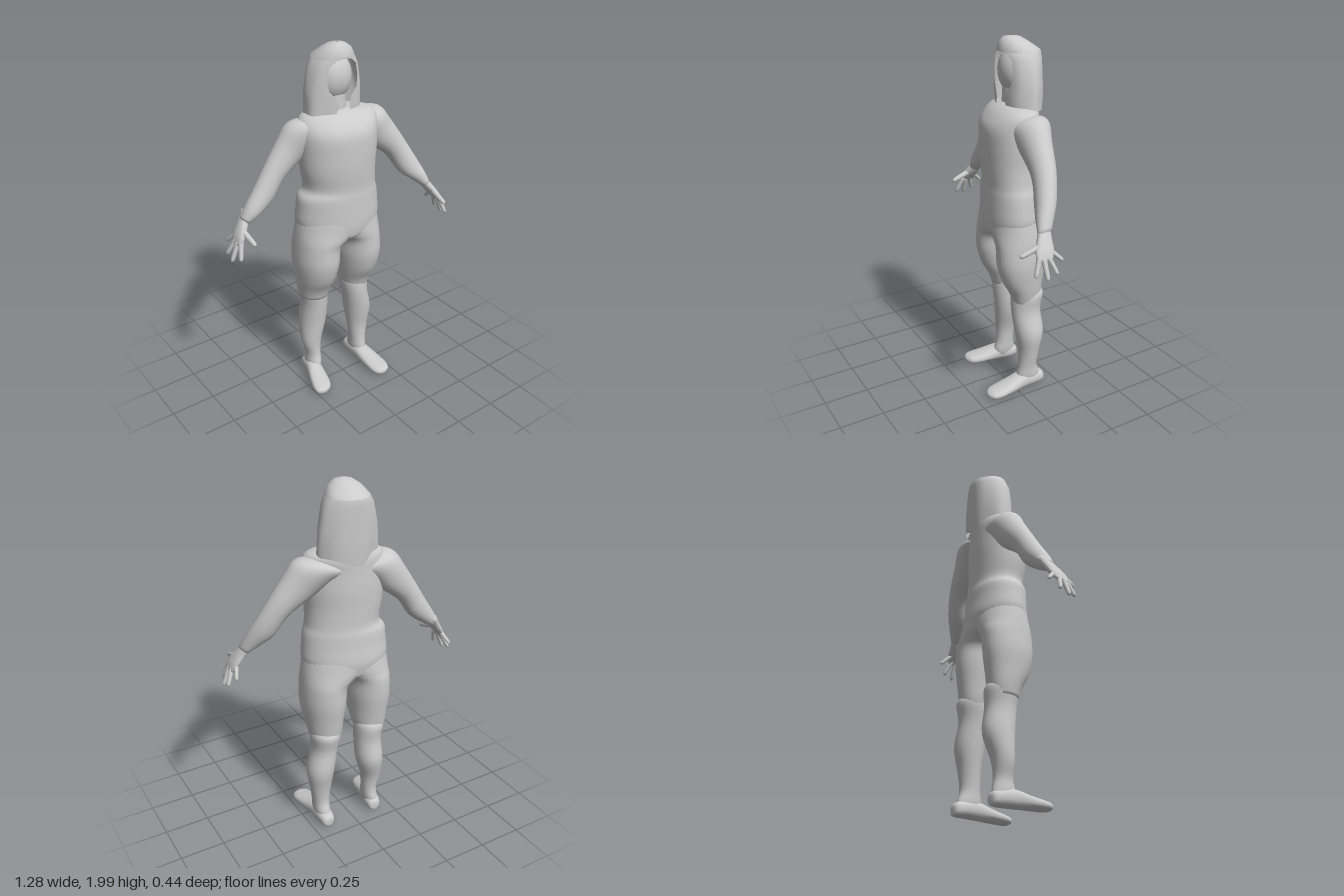
import * as THREE from 'three';

const V = (x, y, z) => new THREE.Vector3(x, y, z);
const material = new THREE.MeshStandardMaterial({ color: 0xcccccc });
const shellMaterial = new THREE.MeshStandardMaterial({ color: 0xcccccc, side: THREE.DoubleSide });

// Smooth closed skin over rings [x, y, z, radiusU, radiusW] spanned by axes u and w
function loft(name, rows, u, w, power = 2, sides = 24, steps = 4) {
  const centres = new THREE.CatmullRomCurve3(rows.map(r => V(r[0], r[1], r[2])), false, 'catmullrom', 0.5);
  const radii = new THREE.CatmullRomCurve3(rows.map(r => V(r[3], r[4], 0)), false, 'catmullrom', 0.5);
  const n = (rows.length - 1) * steps;
  const pos = [], idx = [];
  const bend = v => Math.sign(v) * Math.abs(v) ** (2 / power);
  for (let i = 0; i <= n; i++) {
    const c = centres.getPoint(i / n), r = radii.getPoint(i / n);
    for (let j = 0; j < sides; j++) {
      const a = j / sides * Math.PI * 2;
      const p = c.clone().addScaledVector(u, r.x * bend(Math.cos(a))).addScaledVector(w, r.y * bend(Math.sin(a)));
      pos.push(p.x, p.y, p.z);
    }
  }
  const first = centres.getPoint(0), last = centres.getPoint(1);
  pos.push(...first.toArray(), ...last.toArray());
  const flip = u.clone().cross(w).dot(last.clone().sub(first)) < 0;
  const tri = (a, b, c) => flip ? idx.push(a, c, b) : idx.push(a, b, c);
  const capA = (n + 1) * sides, capB = capA + 1;
  for (let j = 0; j < sides; j++) {
    const k = (j + 1) % sides;
    for (let i = 0; i < n; i++) {
      const a = i * sides + j, b = i * sides + k;
      tri(a, b, b + sides);
      tri(a, b + sides, a + sides);
    }
    tri(capA, k, j);
    tri(capB, n * sides + j, n * sides + k);
  }
  return finish(name, pos, idx, material);
}

function finish(name, pos, idx, mat) {
  const g = new THREE.BufferGeometry();
  g.setAttribute('position', new THREE.Float32BufferAttribute(pos, 3));
  g.setIndex(idx);
  g.computeVertexNormals();
  const mesh = new THREE.Mesh(g, mat);
  mesh.name = name;
  return mesh;
}

// Long hair: rows [y, z, radiusX, radiusZ, half angle of the front opening]
function hair() {
  const rows = [
    [2.0, -0.06, 0.004, 0.004, 0], [1.993, -0.06, 0.045, 0.045, 0], [1.97, -0.07, 0.08, 0.075, 0],
    [1.94, -0.09, 0.103, 0.1, 0], [1.928, -0.098, 0.11, 0.11, 0], [1.922, -0.1, 0.114, 0.113, 0.4],
    [1.89, -0.1, 0.133, 0.113, 0.66], [1.83, -0.1, 0.148, 0.111, 0.68], [1.77, -0.1, 0.16, 0.109, 0.56],
    [1.73, -0.1, 0.163, 0.107, 0.3], [1.69, -0.1, 0.165, 0.106, 0.2], [1.635, -0.098, 0.168, 0.1, 0.3],
  ];
  const sides = 48, pos = [], idx = [];
  rows.forEach(([y, z, rx, rz, gap], i) => {
    for (let j = 0; j <= sides; j++) {
      const a = gap + (Math.PI * 2 - gap * 2) * j / sides;
      const lock = 1 + 0.025 * Math.sin(a * 7 + i * 0.3) * i / rows.length;
      const drop = i === rows.length - 1 ? 0.05 * Math.max(0, -Math.cos(a)) ** 8 : 0;
      pos.push(0.008 + rx * lock * Math.sin(a), y - drop, z + rz * lock * Math.cos(a));
      if (i && j) {
        const d = i * (sides + 1) + j, b = d - sides - 1;
        idx.push(b - 1, d - 1, d, b - 1, d, b);
      }
    }
  });
  return finish('hair', pos, idx, shellMaterial);
}

// Hand with spread fingers; s mirrors it, dz shifts it
function hand(s, dz) {
  const g = new THREE.Group();
  g.name = s > 0 ? 'leftHand' : 'rightHand';
  const at = ([x, y, z]) => V(s * x, y, z + dz);
  const palm = [[0.505, 1.18, 0.052, 0.022, 0.03], [0.545, 1.12, 0.078, 0.023, 0.042],
    [0.58, 1.07, 0.095, 0.018, 0.052], [0.6, 1.035, 0.1, 0.01, 0.04]];
  g.add(loft('palm', palm.map(([x, y, z, a, b]) => [s * x, y, z + dz, a, b]), V(s * 0.8, 0.6, 0), V(0, 0, 1), 2.2, 16));
  const fingers = [
    ['thumb', [0.56, 1.105, 0.09], [0.551, 1.06, 0.218], 0.018],
    ['indexFinger', [0.585, 1.06, 0.128], [0.612, 0.965, 0.165], 0.015],
    ['middleFinger', [0.592, 1.05, 0.11], [0.635, 0.945, 0.108], 0.015],
    ['ringFinger', [0.59, 1.055, 0.085], [0.632, 0.965, 0.052], 0.014],
    ['littleFinger', [0.575, 1.075, 0.064], [0.602, 1.015, 0.003], 0.013],
  ];
  for (const [name, from, to, r] of fingers) {
    const a = at(from), b = at(to);
    const d = b.clone().sub(a).normalize();
    const u = d.clone().cross(V(1, 0, 0)).normalize(), w = d.clone().cross(u);
    const rows = [[0, 1], [0.5, 0.85], [0.9, 0.7], [1, 0.25]].map(([t, k]) => [...a.clone().lerp(b, t).toArray(), r * k, r * k]);
    g.add(loft(name, rows, u, w, 2, 10, 3));
  }
  return g;
}

export function createModel() {
  const model = new THREE.Group();
  const X = V(1, 0, 0), Y = V(0, 1, 0), Z = V(0, 0, 1);
  const twist = V(1, 0, 0.13); // the body turns slightly, left side forward

  model.add(loft('torso', [
    [0, 0.925, -0.06, 0.03, 0.07], [0, 0.945, -0.058, 0.09, 0.12], [0, 0.965, -0.057, 0.145, 0.143],
    [0, 1.0, -0.057, 0.205, 0.151], [0, 1.05, -0.058, 0.232, 0.155], [0, 1.13, -0.054, 0.228, 0.15],
    [0, 1.2, -0.052, 0.22, 0.147], [0.01, 1.25, -0.048, 0.197, 0.142], [0, 1.35, -0.045, 0.203, 0.147],
    [0, 1.45, -0.045, 0.21, 0.15], [0, 1.55, -0.046, 0.213, 0.146], [0.01, 1.61, -0.062, 0.212, 0.127],
    [0.015, 1.645, -0.075, 0.18, 0.1], [0.01, 1.663, -0.08, 0.1, 0.06],
  ], twist, Z, 2.1, 40));

  // Head
  model.add(loft('neck', [[0, 1.6, -0.085, 0.085, 0.07], [0, 1.68, -0.085, 0.07, 0.065], [0, 1.78, -0.09, 0.07, 0.065]], X, Z));
  const head = new THREE.Mesh(new THREE.SphereGeometry(1, 28, 20), material);
  head.name = 'head';
  head.scale.set(0.105, 0.125, 0.088);
  head.position.set(0, 1.822, -0.088);
  model.add(head, hair());

  // Arms and hands
  const arms = {
    leftArm: [[0.04, 1.56, -0.075, 0.06, 0.09], [0.12, 1.57, -0.07, 0.092, 0.105], [0.195, 1.55, -0.062, 0.111, 0.1],
      [0.268, 1.482, -0.05, 0.097, 0.08], [0.37, 1.38, -0.03, 0.069, 0.064], [0.44, 1.265, 0.004, 0.064, 0.058],
      [0.49, 1.2, 0.038, 0.045, 0.05], [0.53, 1.143, 0.066, 0.026, 0.037]],
    rightArm: [[-0.04, 1.56, -0.09, 0.06, 0.085], [-0.11, 1.567, -0.1, 0.09, 0.1], [-0.18, 1.54, -0.116, 0.1, 0.092],
      [-0.25, 1.462, -0.13, 0.088, 0.072], [-0.345, 1.36, -0.133, 0.065, 0.058], [-0.41, 1.262, -0.133, 0.063, 0.055],
      [-0.483, 1.185, -0.132, 0.046, 0.048], [-0.53, 1.138, -0.138, 0.026, 0.036]],
  };
  for (const [name, rows] of Object.entries(arms)) {
    const s = name === 'leftArm' ? 1 : -1;
    model.add(loft(name, rows, V(s * 0.77, 0.63, 0), Z), hand(s, s > 0 ? 0 : -0.21));
  }

  // Thighs blend into the hips and taper into the knees; k grows the z offset downward
  for (const s of [1, -1]) {
    model.add(loft(s > 0 ? 'leftThigh' : 'rightThigh', [
      [0.01, 1.13, -0.054, 0.208, 0.14, 0], [0.022, 1.06, -0.057, 0.207, 0.148, 0], [0.055, 1.0, -0.056, 0.182, 0.149, 0.3],
      [0.095, 0.95, -0.054, 0.147, 0.149, 0.6], [0.126, 0.9, -0.053, 0.119, 0.148, 1], [0.133, 0.8, -0.053, 0.115, 0.146, 1],
      [0.134, 0.7, -0.06, 0.102, 0.125, 1], [0.134, 0.62, -0.077, 0.089, 0.097, 1], [0.136, 0.56, -0.082, 0.074, 0.08, 1],
    ].map(([x, y, z, a, b, k]) => [s * x, y, z - (s > 0 ? 0 : 0.022 * k), a, b]), twist, Z, 2.1, 32));
  }

  // Lower legs, with a full band around the back of the knee
  const shins = {
    leftShin: [[0.136, 0.635, -0.092, 0.07, 0.07], [0.137, 0.595, -0.091, 0.085, 0.092], [0.143, 0.5, -0.08, 0.075, 0.085],
      [0.168, 0.37, -0.087, 0.08, 0.082], [0.17, 0.25, -0.085, 0.063, 0.06], [0.168, 0.15, -0.08, 0.049, 0.056],
      [0.167, 0.09, -0.085, 0.046, 0.07], [0.167, 0.05, -0.09, 0.038, 0.07]],
    rightShin: [[-0.132, 0.635, -0.117, 0.07, 0.07], [-0.13, 0.595, -0.115, 0.083, 0.092], [-0.123, 0.5, -0.115, 0.077, 0.085],
      [-0.128, 0.37, -0.13, 0.078, 0.085], [-0.146, 0.24, -0.118, 0.06, 0.06], [-0.14, 0.15, -0.112, 0.044, 0.053],
      [-0.143, 0.09, -0.11, 0.043, 0.066], [-0.145, 0.05, -0.112, 0.036, 0.066]],
  };
  for (const [name, rows] of Object.entries(shins)) model.add(loft(name, rows, X, Z));

  // Feet, the right one turned outward
  const foot = [[0.165, 0.04, -0.185, 0.02, 0.022], [0.165, 0.045, -0.168, 0.038, 0.036], [0.165, 0.052, -0.11, 0.048, 0.044],
    [0.167, 0.053, -0.04, 0.049, 0.046], [0.172, 0.042, 0.04, 0.056, 0.035], [0.176, 0.033, 0.12, 0.058, 0.026],
    [0.176, 0.028, 0.165, 0.046, 0.021], [0.175, 0.026, 0.186, 0.015, 0.01]];
  model.add(loft('leftFoot', foot, X, Y, 2.3));
  model.add(loft('rightFoot', foot.map(([x, y, z, a, b]) =>
    [-0.145 - 0.2 * Math.max(0, z + 0.13) - (x - 0.165) * 0.5, y, -0.19 + (z + 0.185) * 0.84, a * 0.98, b]), X, Y, 2.3));

  return model;
}
